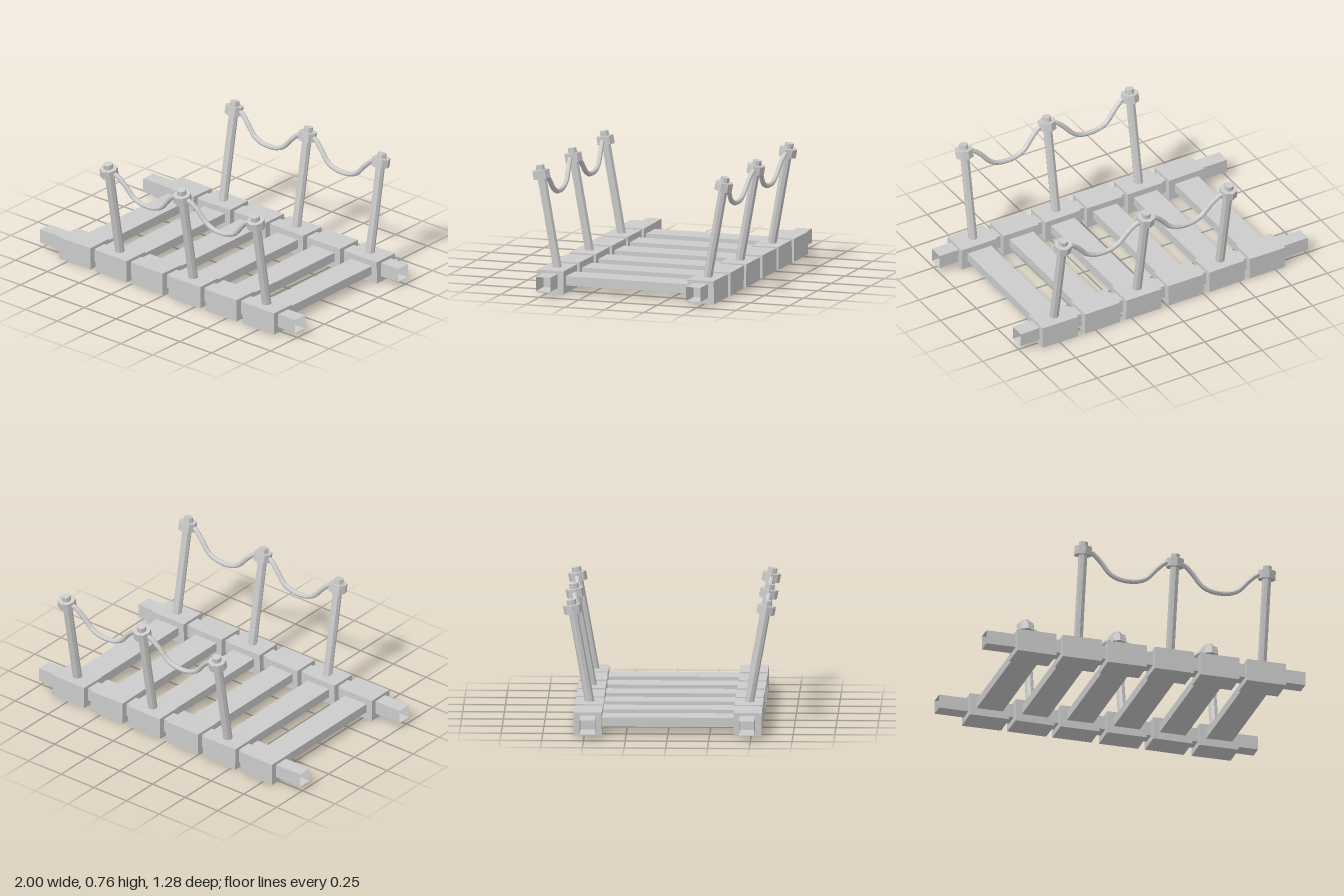
import * as THREE from 'three';

const TILT = 0.178; // outward lean of the posts
const BLOCK_X = [-0.695, -0.41, -0.128, 0.165, 0.453, 0.745];
const POST_X = [-0.412, 0.164, 0.741];

const material = new THREE.MeshStandardMaterial({ color: 0xcccccc, flatShading: true, side: THREE.DoubleSide });

function add(parent, name, geometry, x = 0, y = 0, z = 0) {
  const mesh = new THREE.Mesh(geometry, material);
  mesh.name = name;
  mesh.position.set(x, y, z);
  parent.add(mesh);
  return mesh;
}

// Leaning post with an octagonal collar and a protruding tip
function createPost(x, side) {
  const post = new THREE.Group();
  post.name = 'post';
  post.position.set(x, 0.1, side * 0.471);
  post.rotation.x = side * TILT;
  add(post, 'postShaft', new THREE.CylinderGeometry(0.028, 0.028, 0.668, 8), 0, 0.334, 0);
  add(post, 'postCollar', new THREE.CylinderGeometry(0.055, 0.055, 0.052, 8), 0, 0.612, 0);
  return post;
}

// Sagging rope between two neighbouring posts
function createRope(x0, x1, side) {
  const profile = [[0, 0.7], [0.09, 0.7], [0.19, 0.655], [0.3, 0.585], [0.4, 0.558], [0.5, 0.552]];
  const full = [...profile, ...profile.slice(0, -1).reverse().map(([t, y]) => [1 - t, y])];
  const points = full.map(([t, y]) => new THREE.Vector3(
    THREE.MathUtils.lerp(x0, x1, t), y, side * (0.564 + 0.018 * Math.max(0, (y - 0.62) / 0.08))));
  return new THREE.TubeGeometry(new THREE.CatmullRomCurve3(points), 24, 0.015, 8);
}

export function createModel() {
  const bridge = new THREE.Group();
  bridge.name = 'bridge';

  // Planks across the deck
  BLOCK_X.forEach((x) => add(bridge, 'plank', new THREE.BoxGeometry(0.163, 0.056, 0.84), x, 0.078, 0));

  for (const side of [1, -1]) {
    // Hollow square rail, open at both ends
    const rail = new THREE.CylinderGeometry(Math.SQRT1_2, Math.SQRT1_2, 2, 4, 1, true);
    rail.rotateY(Math.PI / 4).rotateZ(Math.PI / 2).scale(1, 0.086, 0.092);
    add(bridge, 'sideRail', rail, 0, 0.082, side * 0.477);

    // Blocks clasping the rail, each very slightly askew
    BLOCK_X.forEach((x, i) => {
      const block = add(bridge, 'block', new THREE.BoxGeometry(0.245, 0.14, 0.168), x, 0.073, side * 0.478);
      block.rotation.y = 0.012 * Math.sin(i * 2.3 + side);
      block.rotation.x = 0.01 * Math.sin(i * 1.7 + side);
    });

    // Posts and ropes
    POST_X.forEach((x, i) => {
      bridge.add(createPost(x, side));
      if (i > 0) add(bridge, 'rope', createRope(POST_X[i - 1], x, side));
    });
  }
  return bridge;
}
